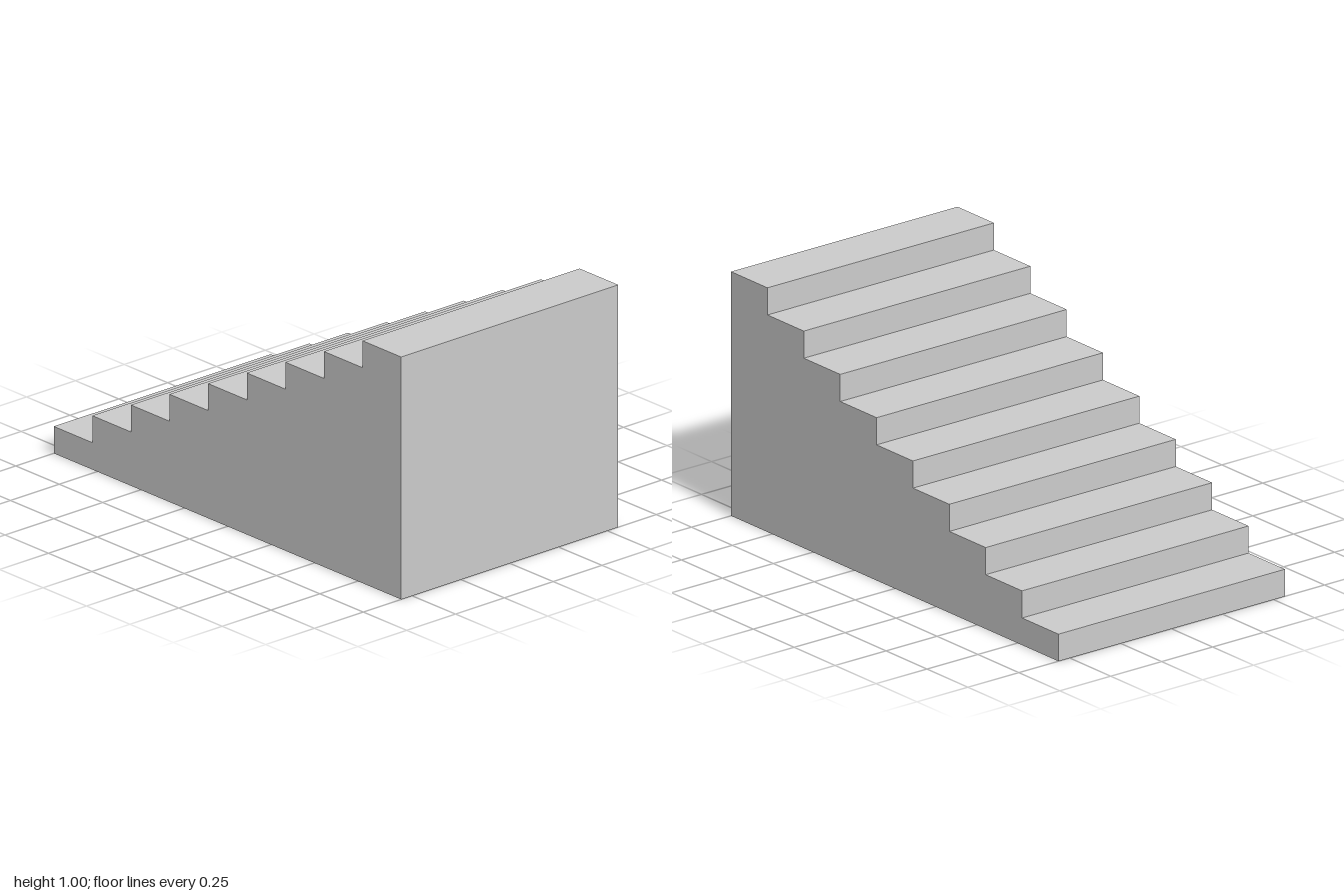
import * as THREE from 'three';

const STEPS = 9;
const LENGTH = 2, HEIGHT = 1, WIDTH = 10 / 9;

export function createModel() {
  const group = new THREE.Group();
  group.name = 'staircase';

  // Stepped side profile, rising towards +x
  const tread = LENGTH / STEPS, riser = HEIGHT / STEPS;
  const profile = new THREE.Shape();
  profile.moveTo(LENGTH / 2, 0);
  profile.lineTo(LENGTH / 2, HEIGHT);
  for (let i = STEPS - 1; i >= 0; i--) {
    const x = -LENGTH / 2 + i * tread;
    profile.lineTo(x, (i + 1) * riser);
    profile.lineTo(x, i * riser);
  }
  profile.closePath();

  // Solid flight of steps
  const geometry = new THREE.ExtrudeGeometry(profile, { depth: WIDTH, bevelEnabled: false });
  geometry.translate(0, 0, -WIDTH / 2);
  const steps = new THREE.Mesh(
    geometry,
    new THREE.MeshStandardMaterial({ color: 0xcccccc, flatShading: true })
  );
  steps.name = 'solidSteps';
  group.add(steps);

  return group;
}
